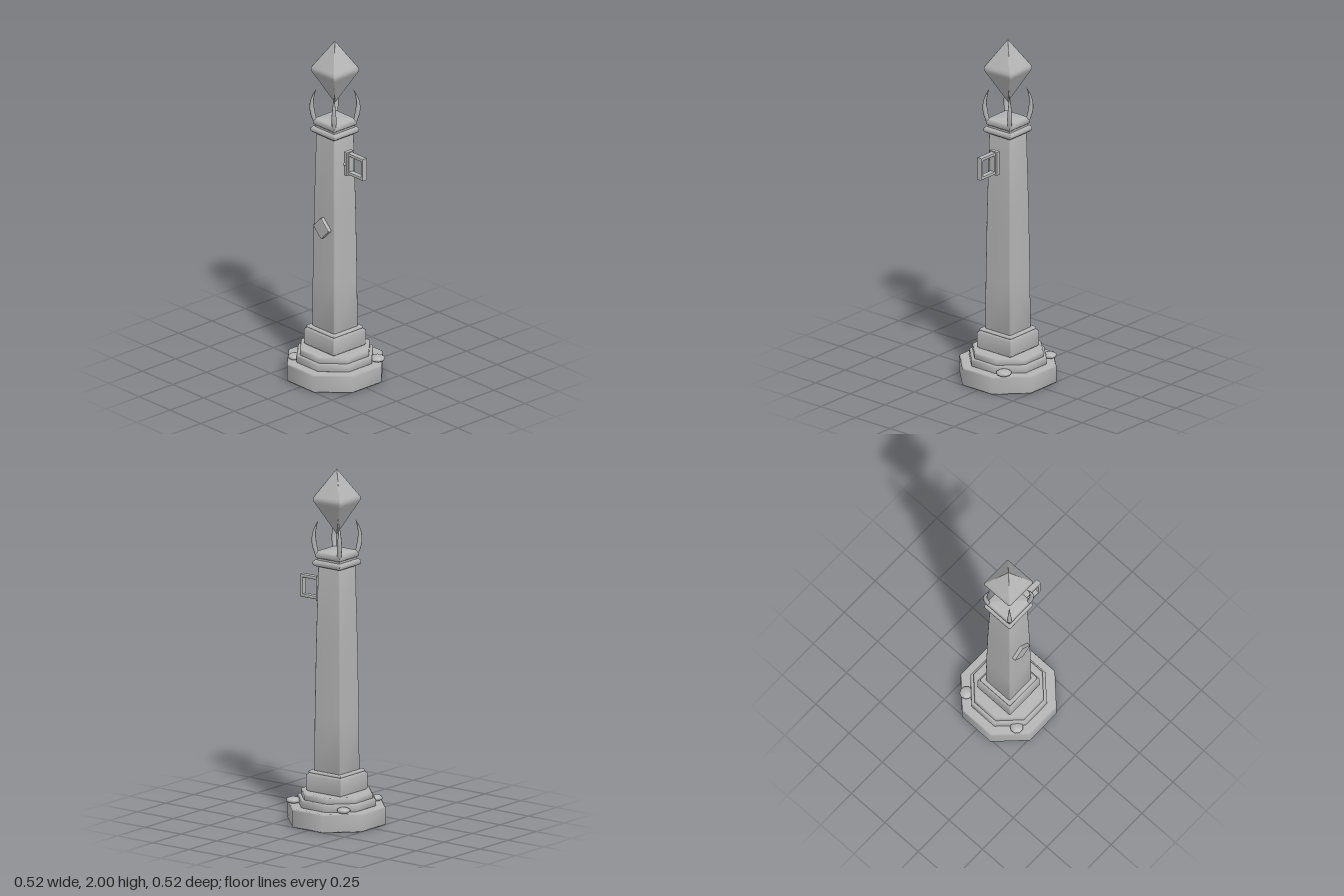
import * as THREE from 'three';

const stone = new THREE.MeshStandardMaterial({ color: 0xb4b4b4 });
stone.name = 'grey stone';

function add(parent, name, geometry, x = 0, y = 0, z = 0) {
  const mesh = new THREE.Mesh(geometry, stone);
  mesh.name = name;
  mesh.position.set(x, y, z);
  parent.add(mesh);
  return mesh;
}

// Smooth prism with flats facing the axes; profile = [half width, y] from bottom to top,
// chamfer = width cut from each upright edge
function prism(sides, profile, chamfer = 0) {
  const positions = [], index = [];
  const half = Math.PI / sides;
  const ends = chamfer ? [-1, 1] : [1];
  const n = sides * ends.length;
  for (const [w, y] of profile) {
    const reach = w * Math.tan(half) - Math.min(chamfer, w * 0.3);
    for (let s = 0; s < sides; s++) {
      const a = s * 2 * half;
      for (const e of ends) {
        positions.push(w * Math.sin(a) + e * reach * Math.cos(a), y, w * Math.cos(a) - e * reach * Math.sin(a));
      }
    }
  }
  for (let j = 0; j < profile.length - 1; j++) {
    for (let i = 0; i < n; i++) {
      const a = j * n + i, b = j * n + (i + 1) % n;
      index.push(a, b, b + n, a, b + n, a + n);
    }
  }
  const g = new THREE.BufferGeometry();
  g.setAttribute('position', new THREE.Float32BufferAttribute(positions, 3));
  g.setIndex(index);
  g.computeVertexNormals();
  return g;
}

// Closed slab with softened rims
function slab(sides, w, y0, y1, b, chamfer) {
  return prism(sides, [[0, y0], [w - b, y0], [w, y0 + b], [w, y1 - b], [w - b, y1], [0, y1]], chamfer);
}

// Bevelled plate or frame, lying in the xy plane and centred on z
function bevelled(shape, depth, bevel) {
  const g = new THREE.ExtrudeGeometry(shape, {
    depth: depth - 2 * bevel, bevelEnabled: true, bevelThickness: bevel,
    bevelSize: bevel, bevelOffset: -bevel, bevelSegments: 2, curveSegments: 3,
  });
  return g.translate(0, 0, -(depth - 2 * bevel) / 2);
}

function rectangle(Type, w, h) {
  return new Type([[-w, -h], [w, -h], [w, h], [-w, h]].map(([x, y]) => new THREE.Vector2(x, y)));
}

// Tapering curved prong, rising over the +x +z corner
function clawGeometry() {
  const curve = new THREE.CatmullRomCurve3([
    [0.078, 1.52], [0.088, 1.575], [0.09, 1.63], [0.083, 1.675], [0.073, 1.71],
  ].map(([d, y]) => new THREE.Vector3(d, y, d)));
  const rings = 14, sides = 8;
  const g = new THREE.TubeGeometry(curve, rings, 0.014, sides);
  const pos = g.attributes.position, v = new THREE.Vector3();
  for (let i = 0; i < pos.count; i++) {
    const t = Math.floor(i / (sides + 1)) / rings;
    const centre = curve.getPointAt(t);
    const size = t < 0.3 ? 0.8 + 0.2 * t / 0.3 : 1 - 0.95 * Math.pow((t - 0.3) / 0.7, 1.4);
    v.fromBufferAttribute(pos, i).sub(centre).multiplyScalar(size).add(centre);
    pos.setXYZ(i, v.x, v.y, v.z);
  }
  return g;
}

export function createModel() {
  const model = new THREE.Group();
  model.name = 'crystalPillar';

  // Octagonal stepped base
  add(model, 'baseSlab', slab(8, 0.26, 0, 0.104, 0.008));
  add(model, 'lowerStep', slab(8, 0.207, 0.1, 0.147, 0.008));
  add(model, 'upperStep', slab(8, 0.19, 0.14, 0.18, 0.008));

  // Square plinth
  add(model, 'plinth', slab(4, 0.123, 0.175, 0.285, 0.014, 0.006));
  add(model, 'plinthRim', slab(4, 0.112, 0.28, 0.296, 0.005, 0.004));

  // Tapered column
  add(model, 'column', prism(4, [[0, 0.285], [0.091, 0.285], [0.089, 0.6], [0.084, 1.0], [0.075, 1.46], [0, 1.46]], 0.006));

  // Capital with two bands and a nearly flat top
  add(model, 'capitalBand', slab(4, 0.097, 1.453, 1.487, 0.009, 0.005));
  add(model, 'capitalNeck', slab(4, 0.08, 1.48, 1.505, 0.002, 0.004));
  add(model, 'capitalTop', prism(4, [[0, 1.498], [0.08, 1.498], [0.088, 1.506], [0.088, 1.528], [0.08, 1.536], [0, 1.542]], 0.005));

  // Four prongs around the crystal
  const claw = clawGeometry();
  for (let i = 0; i < 4; i++) {
    add(model, 'prong', claw).rotation.y = i * Math.PI / 2;
  }

  // Floating four-sided crystal
  add(model, 'crystal', prism(4, [[0, 1.63], [0.088, 1.806], [0.096, 1.822], [0.096, 1.838], [0.088, 1.853], [0, 2]], 0.006));

  // Diamond plaque on the front
  const d = 0.046, r = 0.012;
  const plaque = new THREE.Shape();
  plaque.moveTo(-d + r, -d).lineTo(d - r, -d).quadraticCurveTo(d, -d, d, -d + r)
    .lineTo(d, d - r).quadraticCurveTo(d, d, d - r, d)
    .lineTo(-d + r, d).quadraticCurveTo(-d, d, -d, d - r)
    .lineTo(-d, -d + r).quadraticCurveTo(-d, -d, -d + r, -d);
  add(model, 'diamondPlaque', bevelled(plaque, 0.03, 0.005), 0, 0.905, 0.091).rotation.z = Math.PI / 4;

  // Side bracket: back plate, square frame and a small stud
  const bracket = new THREE.Group();
  bracket.name = 'sideBracket';
  bracket.position.y = 1.306;
  model.add(bracket);
  add(bracket, 'bracketPlate', bevelled(rectangle(THREE.Shape, 0.012, 0.07), 0.058, 0.005), 0.114);
  const frame = rectangle(THREE.Shape, 0.066, 0.065);
  frame.holes.push(rectangle(THREE.Path, 0.047, 0.046));
  add(bracket, 'bracketFrame', bevelled(frame, 0.034, 0.006), 0.179);
  add(bracket, 'bracketStud', new THREE.SphereGeometry(0.009, 10, 8), 0.113, 0, 0.031);

  // Pebbles resting on the base
  const pebbles = [[-0.171, -0.158, 0.038], [0.195, -0.137, 0.044], [-0.131, 0.182, 0.037]];
  pebbles.forEach(([x, z, radius], i) => {
    const pebble = add(model, 'pebble', new THREE.SphereGeometry(radius, 9, 8), x, 0.121, z);
    pebble.scale.y = 0.018 / radius;
    pebble.rotation.y = i * 1.3;
  });

  return model;
}
